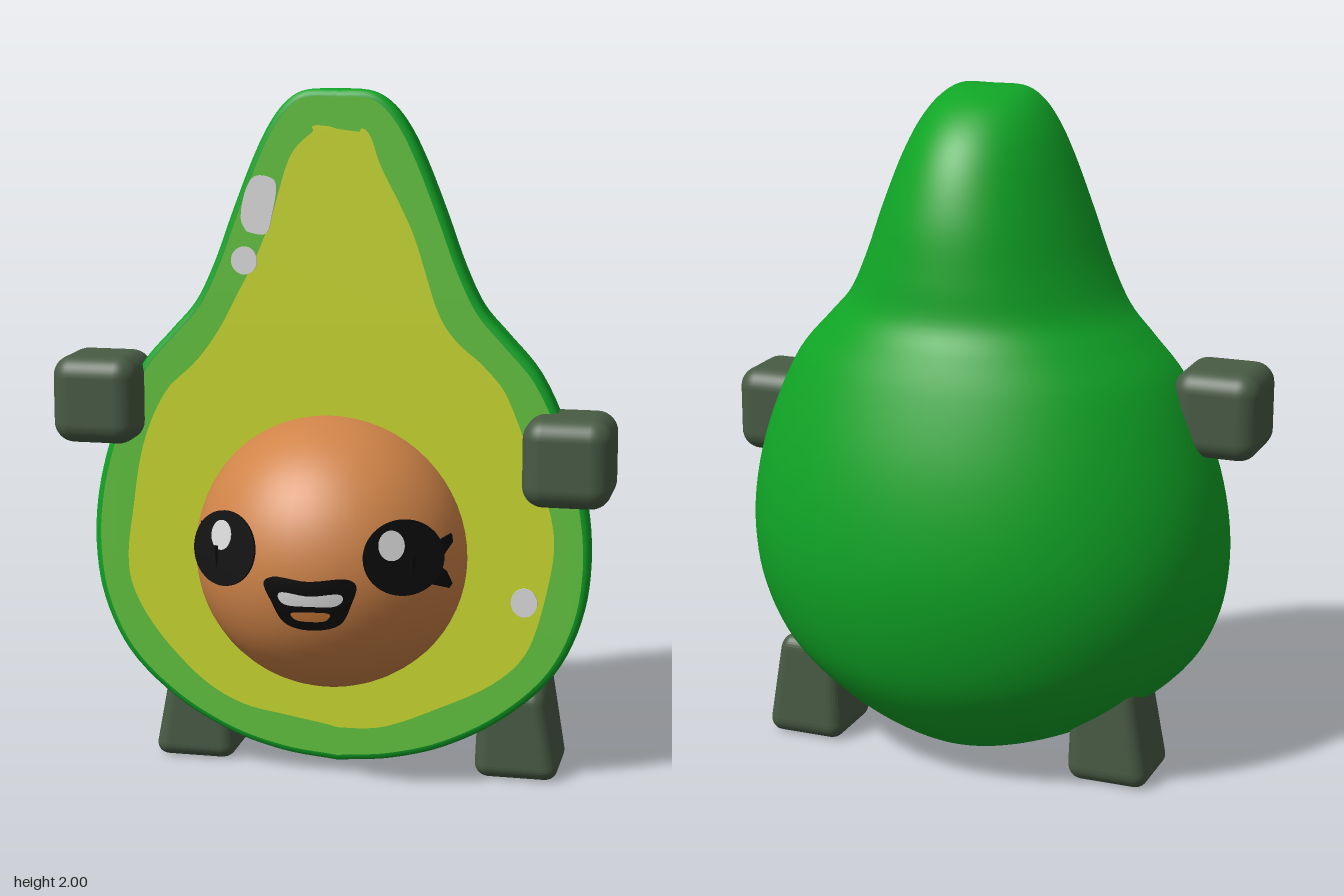
import * as THREE from 'three';
import { RoundedBoxGeometry } from 'three/addons/geometries/RoundedBoxGeometry.js';

const mat = (name, color, side = THREE.FrontSide) => {
  const m = new THREE.MeshStandardMaterial({ color, side });
  m.name = name;
  return m;
};

// Grid surface from a rule: u runs along columns, v along rows
function grid(nu, nv, rule) {
  const g = new THREE.PlaneGeometry(1, 1, nu, nv);
  const p = g.attributes.position;
  for (let j = 0, k = 0; j <= nv; j++)
    for (let i = 0; i <= nu; i++, k++) p.setXYZ(k, ...rule(i / nu, j / nv));
  g.computeVertexNormals();
  return g;
}

// Body levels, top to bottom: half width, height, back depth
const LEVELS = [
  [0, 2.0, 0.1], [0.09, 1.998, 0.03], [0.15, 1.965, -0.08], [0.2, 1.9, -0.17],
  [0.245, 1.81, -0.235], [0.305, 1.66, -0.29], [0.365, 1.5, -0.315], [0.42, 1.39, -0.328],
  [0.49, 1.31, -0.365], [0.585, 1.2, -0.41], [0.675, 1.0, -0.47], [0.722, 0.82, -0.5],
  [0.733, 0.66, -0.505], [0.71, 0.5, -0.48], [0.635, 0.34, -0.425], [0.49, 0.2, -0.33],
  [0.32, 0.105, -0.23], [0.17, 0.06, -0.13], [0, 0.04, 0.08],
].map((a) => new THREE.Vector3(...a));
const CX = 0.012, FRONT = 0.12, RIM = 0.02;
const SEED = { x: -0.003, y: 0.677, z: 0.09, r: 0.4 };

// Move a clockwise closed outline inward
function inset(pts, amount) {
  const n = pts.length;
  return pts.map((p, i) => {
    const t = pts[(i + 1) % n].clone().sub(pts[(i + n - 1) % n]).normalize();
    const d = typeof amount === 'function' ? amount(i / n) : amount;
    return new THREE.Vector2(p.x + t.y * d, p.y - t.x * d);
  });
}

// Patch laid over the seed, from a clockwise outline around a centre
function seedPatch(cx, cy, outline, lift) {
  const curve = new THREE.CatmullRomCurve3(
    outline.map(([x, y]) => new THREE.Vector3(x, y, 0)), true);
  return grid(48, 6, (u, v) => {
    const p = curve.getPoint(u % 1).multiplyScalar(1 - v);
    const x = cx + p.x, y = cy + p.y, R = SEED.r + lift;
    return [x, y, SEED.z + Math.sqrt(R * R - (x - SEED.x) ** 2 - (y - SEED.y) ** 2)];
  });
}

const ellipse = (rx, ry, tilt = 0) =>
  new THREE.Shape().absellipse(0, 0, rx, ry, 0, Math.PI * 2, false, tilt);
const plate = (shape, depth = 0.006) =>
  new THREE.ExtrudeGeometry(shape, { depth, bevelEnabled: false, curveSegments: 24 });

export function createModel() {
  const root = new THREE.Group();
  root.name = 'avocadoHalf';
  const skin = mat('skin green', 0x10a526);
  const ringMat = mat('light green', 0x62c23e);
  const flesh = mat('flesh yellow', 0xc8d72e);
  const seedMat = mat('seed brown', 0xd08448);
  const limb = mat('limb dark green', 0x485b44);
  const black = mat('face black', 0x0a0a0a, THREE.DoubleSide);
  const white = mat('shine white', 0xdcdcdc, THREE.DoubleSide);
  const tongueMat = mat('tongue orange', 0xc87838, THREE.DoubleSide);
  const add = (parent, name, geo, m, x = 0, y = 0, z = 0) => {
    const mesh = new THREE.Mesh(geo, m);
    mesh.name = name;
    mesh.position.set(x, y, z);
    parent.add(mesh);
    return mesh;
  };

  // Skin: half-elliptic sections behind a flat cut
  const levels = new THREE.CatmullRomCurve3(LEVELS).getPoints(90);
  const zr = FRONT - RIM;
  add(root, 'skinBack', grid(48, 90, (u, v) => {
    const l = levels[Math.round(v * 90)], t = u * Math.PI;
    return [CX + l.x * Math.cos(t), l.y, zr - (zr - l.z) * Math.sin(t)];
  }), skin);

  // Rounded rim following the cut outline
  const right = levels.map((l) => new THREE.Vector2(CX + l.x, l.y));
  const left = levels.slice(1, -1).reverse().map((l) => new THREE.Vector2(CX - l.x, l.y));
  const outline = [...right, ...left];
  const N = outline.length;
  const rims = [0, 1, 2, 3, 4].map((k) => inset(outline, RIM * (1 - Math.cos(k * Math.PI / 8))));
  add(root, 'skinRim', grid(N, 4, (u, v) => {
    const k = Math.round(v * 4), p = rims[k][Math.round(u * N) % N];
    return [p.x, p.y, zr + RIM * Math.sin(k * Math.PI / 8)];
  }), skin);

  // Cut face: light ring with the flesh inside it
  add(root, 'outerFlesh', new THREE.ShapeGeometry(new THREE.Shape(rims[4])), ringMat, 0, 0, FRONT);
  const wavy = inset(outline, (t) => 0.108 + 0.008 * Math.sin(t * 75));
  add(root, 'innerFlesh', new THREE.ShapeGeometry(new THREE.Shape(wavy)), flesh, 0, 0, FRONT + 0.003);

  // Shine spots on the cut face
  const streak = new THREE.Shape(new THREE.SplineCurve([
    [-0.035, -0.075], [0.02, -0.08], [0.04, -0.02], [0.052, 0.055], [0.03, 0.08],
    [-0.015, 0.08], [-0.042, 0.03], [-0.052, -0.04], [-0.035, -0.075],
  ].map((p) => new THREE.Vector2(...p))).getPoints(40));
  add(root, 'shineStreak', plate(streak), white, -0.213, 1.673, FRONT + 0.002);
  add(root, 'shineDotUpper', plate(ellipse(0.038, 0.04)), white, -0.257, 1.515, FRONT + 0.002);
  add(root, 'shineDotLower', plate(ellipse(0.038, 0.042)), white, 0.56, 0.555, FRONT + 0.002);

  // Seed
  add(root, 'seed', new THREE.SphereGeometry(SEED.r, 48, 32), seedMat, SEED.x, SEED.y, SEED.z);

  // Eyes: tilted plates with a shine and two lashes
  const lash = new THREE.Shape([
    [-0.03, 0.05], [0.04, 0.045], [0.09, 0.075], [0.14, 0.085], [0.145, 0.06], [0.08, 0.01],
    [0.12, -0.02], [0.145, -0.06], [0.13, -0.07], [0.04, -0.04], [-0.03, -0.05],
  ].map((p) => new THREE.Vector2(...p)));
  for (const s of [1, -1]) {
    const side = new THREE.Group();
    side.name = s > 0 ? 'leftEye' : 'rightEye';
    side.position.x = 0.013;
    side.scale.x = s;
    root.add(side);
    const eye = new THREE.Group();
    eye.position.set(0.253, 0.745, 0.42);
    eye.rotation.set(-0.17, 0.53, 0, 'YXZ');
    side.add(eye);
    add(eye, 'eyePlate', plate(ellipse(0.118, 0.105)), black);
    add(eye, 'eyeShine', plate(ellipse(0.038, 0.042), 0.003), white, s > 0 ? -0.035 : 0.014, 0.035, 0.005);
    add(side, 'lashes', plate(lash), black, 0.288, 0.7, 0.395).rotation.y = 1.05;
  }

  // Mouth with teeth and tongue
  add(root, 'mouth', seedPatch(0.012, 0.615, [
    [-0.1, 0.073], [0, 0.066], [0.11, 0.073], [0.132, 0.055], [0.118, 0],
    [0.085, -0.06], [0, -0.079], [-0.07, -0.06], [-0.105, 0], [-0.127, 0.055],
  ], 0.006), black);
  add(root, 'teeth', seedPatch(0.018, 0.628, [
    [-0.085, 0.018], [0, 0.012], [0.085, 0.018], [0.092, 0.005], [0.075, -0.014],
    [0, -0.018], [-0.075, -0.014], [-0.09, 0.005],
  ], 0.01), white);
  add(root, 'tongue', seedPatch(0.018, 0.578, [
    [-0.055, 0.008], [0, 0.015], [0.055, 0.01], [0.045, -0.008], [0, -0.014], [-0.045, -0.008],
  ], 0.01), tongueMat);

  // Hands
  const hand = new RoundedBoxGeometry(0.252, 0.255, 0.252, 5, 0.06);
  add(root, 'leftHand', hand, limb, 0.683, 0.978, 0.112);
  add(root, 'rightHand', hand, limb, -0.687, 1.107, 0.112);

  // Feet: soft blocks that narrow upward, with a sloping top
  const foot = new RoundedBoxGeometry(0.252, 0.3, 0.252, 5, 0.045);
  const p = foot.attributes.position;
  for (let i = 0; i < p.count; i++) {
    const h = p.getY(i) / 0.3 + 0.5;
    const x = p.getX(i), z = p.getZ(i);
    p.setXYZ(i, x * (1 - 0.25 * h) - 0.02 * h, h * (0.3 - 0.22 * z), z * (1 - 0.06 * h));
  }
  foot.computeVertexNormals();
  add(root, 'leftFoot', foot, limb, 0.535, 0.005, -0.037);
  add(root, 'rightFoot', foot, limb, -0.437, 0.005, -0.037).scale.x = -1;

  return root;
}
